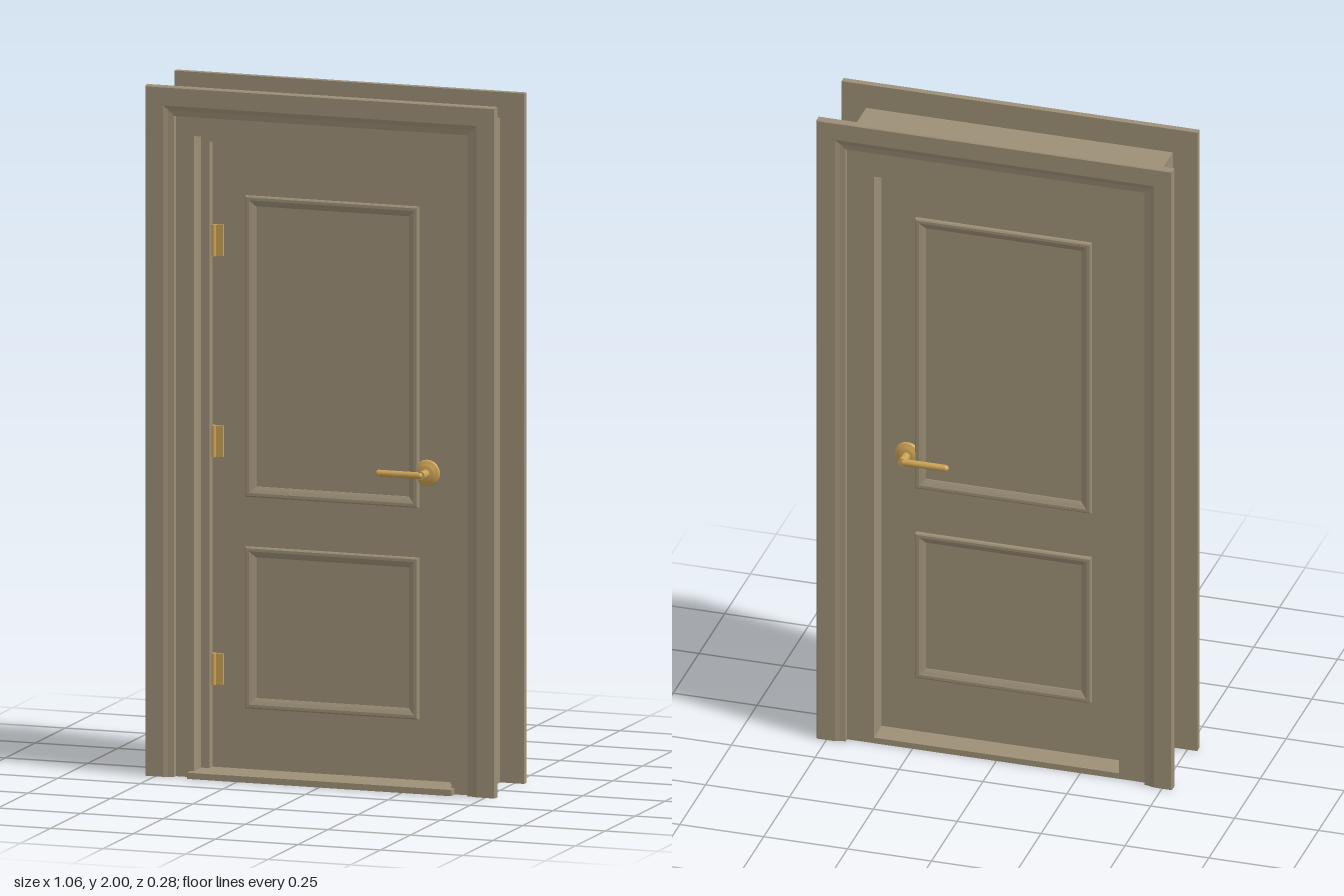
import * as THREE from 'three';

// Sweeps a closed profile of [inset, z] points round a mitred rectangle.
// Without `closed` it makes an upside-down U standing on y0, with capped feet.
function frameGeometry(profile, halfWidth, y0, y1, closed) {
  const corner = (k, [d, z]) => {
    const x = (k === 0 || k === 1 ? -1 : 1) * (halfWidth - d);
    const y = k === 1 || k === 2 ? y1 - d : y0 + (closed ? d : 0);
    return [x, y, z];
  };
  const pos = [];
  const n = profile.length;
  for (let k = 0; k < (closed ? 4 : 3); k++) {
    for (let i = 0; i < n; i++) {
      const p = profile[i], q = profile[(i + 1) % n], next = (k + 1) % 4;
      const a = corner(k, p), b = corner(k, q), b2 = corner(next, q), a2 = corner(next, p);
      pos.push(...a, ...b, ...b2, ...a, ...b2, ...a2);
    }
  }
  if (!closed) {
    const contour = profile.map(([d, z]) => new THREE.Vector2(d, z));
    for (const t of THREE.ShapeUtils.triangulateShape(contour, [])) {
      const [p, q, r] = t.map(i => profile[i]);
      const area = (q[0] - p[0]) * (r[1] - p[1]) - (q[1] - p[1]) * (r[0] - p[0]);
      const tri = area > 0 ? [p, q, r] : [p, r, q];
      tri.forEach(v => pos.push(...corner(0, v)));
      tri.reverse().forEach(v => pos.push(...corner(3, v)));
    }
  }
  const g = new THREE.BufferGeometry();
  g.setAttribute('position', new THREE.Float32BufferAttribute(pos, 3));
  g.computeVertexNormals();
  return g;
}

export function createModel() {
  const paint = new THREE.MeshStandardMaterial({ color: 0x9c8f76 });
  paint.name = 'taupe paint';
  const brass = new THREE.MeshStandardMaterial({ color: 0xcba255 });
  brass.name = 'brass';

  const model = new THREE.Group();
  model.name = 'door';
  const add = (parent, name, geometry, material, x = 0, y = 0, z = 0) => {
    const m = new THREE.Mesh(geometry, material);
    m.name = name;
    m.position.set(x, y, z);
    parent.add(m);
    return m;
  };

  // Jamb lining with a rebate on the front side
  add(model, 'jamb', frameGeometry([
    [0, -0.12], [0, 0.105], [0.067, 0.105], [0.067, 0.045], [0.092, 0.045], [0.092, -0.12],
  ], 0.457, 0, 1.925, false), paint);

  // Casings on both faces of the wall
  const casing = frameGeometry([
    [0, 0], [0, 0.02], [0.003, 0.023], [0.055, 0.023], [0.068, 0.018], [0.085, 0.015], [0.085, 0],
  ], 0.53, 0, 2, false);
  add(model, 'frontCasing', casing, paint, 0, 0, 0.105);
  add(model, 'backCasing', casing, paint, 0, 0, -0.118).rotation.y = Math.PI;

  // Threshold
  add(model, 'threshold', new THREE.BoxGeometry(0.8, 0.018, 0.255), paint, 0, 0.009, 0.0075);

  // Door leaf
  const front = 0.02, back = -0.045;
  add(model, 'leaf', new THREE.BoxGeometry(0.734, 1.818, front - back), paint,
    0, 0.927, (front + back) / 2);

  // Panel mouldings and lever handle, the same on each side
  const moulding = [[0, 0], [0, 0.01], [0.004, 0.013], [0.012, 0.013], [0.022, 0.008], [0.03, 0.003], [0.03, 0]];
  const panels = [['upperMoulding', 0.808, 1.68], ['lowerMoulding', 0.195, 0.663]];
  for (const side of [1, -1]) {
    const face = new THREE.Group();
    face.name = side > 0 ? 'frontFace' : 'backFace';
    face.position.z = side > 0 ? front : back;
    if (side < 0) face.rotation.y = Math.PI;
    model.add(face);
    for (const [name, y0, y1] of panels) {
      add(face, name, frameGeometry(moulding, 0.262, y0, y1, true), paint);
    }

    const handle = new THREE.Group();
    handle.name = 'handle';
    handle.position.set(0.287 * side, 0.91, 0);
    face.add(handle);
    const rose = new THREE.LatheGeometry([
      [0.038, 0], [0.038, 0.006], [0.034, 0.01], [0.024, 0.011], [0.022, 0.016], [0, 0.016],
    ].map(([r, h]) => new THREE.Vector2(r, h)), 32);
    add(handle, 'rose', rose, brass).rotation.x = Math.PI / 2;
    add(handle, 'neck', new THREE.CylinderGeometry(0.012, 0.012, 0.046, 20), brass, 0, 0, 0.033)
      .rotation.x = Math.PI / 2;
    const lever = add(handle, 'lever', new THREE.CapsuleGeometry(0.01, 0.124, 6, 16), brass,
      -0.066 * side, 0, 0.052);
    lever.rotation.z = Math.PI / 2;
  }

  // Three hinges on the right edge of the front
  for (const y of [0.303, 0.963, 1.545]) {
    const hinge = new THREE.Group();
    hinge.name = 'hinge';
    hinge.position.set(-0.35, y, front);
    model.add(hinge);
    add(hinge, 'hingeLeaf', new THREE.BoxGeometry(0.04, 0.09, 0.008), brass, 0, 0, 0.004);
    add(hinge, 'hingeKnuckle', new THREE.CylinderGeometry(0.007, 0.007, 0.092, 16), brass, -0.008, 0, 0.008);
  }
  return model;
}
